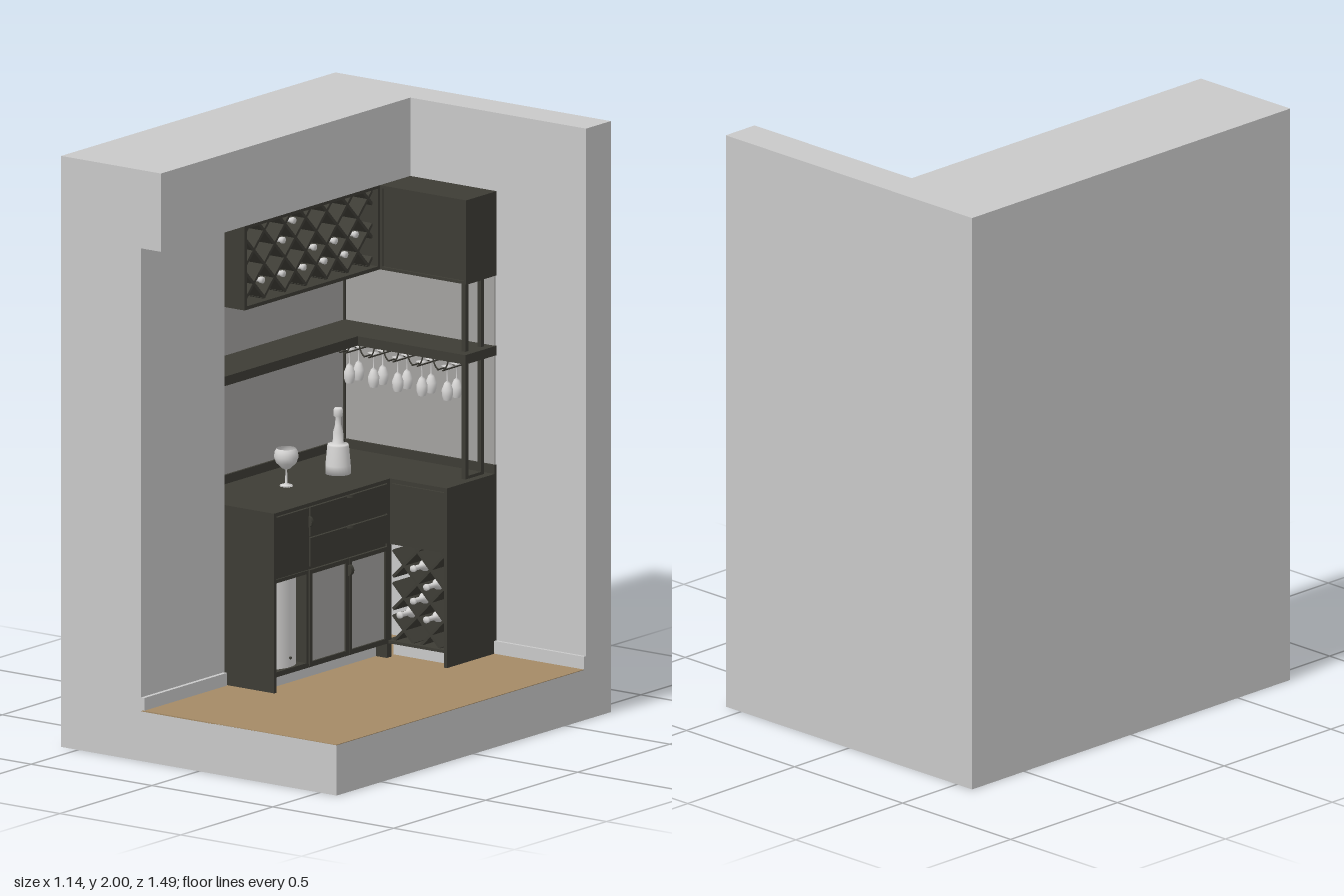
import * as THREE from 'three';

const mat = (name, color, side = THREE.FrontSide) => {
  const m = new THREE.MeshStandardMaterial({ color, side });
  m.name = name;
  return m;
};

export function createModel() {
  const wall = mat('wall grey', 0xc8c8c8);
  const wood = mat('floor tan', 0xa48a66);
  const dark = mat('cabinet charcoal', 0x3d3c35);
  const panel = mat('panel grey', 0xa3a19f);
  const glass = mat('pale glass', 0xd6d5d4, THREE.DoubleSide);

  const model = new THREE.Group();
  model.name = 'cornerBar';
  const sub = (name) => {
    const g = new THREE.Group();
    g.name = name;
    model.add(g);
    return g;
  };
  const room = sub('room');
  const back = sub('backRun');
  // The left run is built facing +z, then turned to face +x: its local x is -z, its local z is x
  const left = sub('leftRun');
  left.rotation.y = Math.PI / 2;
  const tableware = sub('tableware');

  const add = (parent, name, geo, m, x = 0, y = 0, z = 0) => {
    const mesh = new THREE.Mesh(geo, m);
    mesh.name = name;
    mesh.position.set(x, y, z);
    parent.add(mesh);
    return mesh;
  };
  const box = (parent, name, m, x0, x1, y0, y1, z0, z1) =>
    add(parent, name, new THREE.BoxGeometry(x1 - x0, y1 - y0, z1 - z0), m,
      (x0 + x1) / 2, (y0 + y1) / 2, (z0 + z1) / 2);
  const lathe = (pts, n = 20) => new THREE.LatheGeometry(pts.map(([r, y]) => new THREE.Vector2(r, y)), n);

  // Rectangular frame of four bars
  const frame = (p, name, m, x0, x1, y0, y1, z0, z1, t) => {
    box(p, name, m, x0, x0 + t, y0, y1, z0, z1);
    box(p, name, m, x1 - t, x1, y0, y1, z0, z1);
    box(p, name, m, x0 + t, x1 - t, y0, y0 + t, z0, z1);
    box(p, name, m, x0 + t, x1 - t, y1 - t, y1, z0, z1);
  };

  // Diagonal slats clipped to a rectangle; (cx, cy) is the middle of one diamond
  const lattice = (p, x0, x1, y0, y1, z0, z1, cx, cy, pitch) => {
    for (const s of [-1, 1]) for (let k = -12; k <= 12; k++) {
      const c = cx + (k + 0.5) * pitch;
      const ya = cy + s * (c - x0), yb = cy + s * (c - x1);
      const lo = Math.max(y0, Math.min(ya, yb)), hi = Math.min(y1, Math.max(ya, yb));
      if (hi - lo < 0.008) continue;
      const y = (lo + hi) / 2;
      const slat = add(p, 'latticeSlat', new THREE.BoxGeometry(0.01, (hi - lo) * Math.SQRT2, z1 - z0), dark,
        c - s * (y - cy), y, (z0 + z1) / 2);
      slat.rotation.z = s * Math.PI / 4;
    }
  };

  // Bottle lying with its neck to the front
  const bottleGeo = lathe([[0, 0], [0.022, 0], [0.022, 0.13], [0.018, 0.15], [0.009, 0.165], [0.008, 0.2],
    [0.011, 0.2], [0.011, 0.21], [0, 0.21]], 16);
  const layBottles = (p, spots, z) => spots.forEach(([x, y]) => {
    add(p, 'wineBottle', bottleGeo, glass, x, y, z).rotation.x = Math.PI / 2;
  });

  // Room shell: floor slab, walls with a niche on the left, soffit above
  box(room, 'floorSlab', wall, -0.57, 0.57, 0, 0.17, -0.745, 0.745);
  box(room, 'floorBoards', wood, -0.24, 0.57, 0.168, 0.172, -0.61, 0.745);
  box(room, 'backWall', wall, -0.57, 0.57, 0.17, 2, -0.745, -0.61);
  box(room, 'nicheWall', wall, -0.57, -0.43, 0.17, 1.735, -0.61, 0.29);
  box(room, 'leftWall', wall, -0.57, -0.24, 0.17, 1.735, 0.29, 0.745);
  box(room, 'soffit', wall, -0.57, -0.157, 1.735, 2, -0.61, 0.745);
  box(room, 'baseboardLeft', wall, -0.24, -0.226, 0.17, 0.215, 0.295, 0.745);
  box(room, 'baseboardBack', wall, 0.2, 0.57, 0.17, 0.215, -0.61, -0.598);
  box(room, 'splashPanelBack', panel, -0.43, 0.195, 0.81, 1.45, -0.61, -0.606);
  box(room, 'splashPanelLeft', panel, -0.43, -0.426, 0.81, 1.45, -0.606, 0.285);
  box(room, 'cornerTrim', dark, -0.43, -0.42, 0.81, 1.45, -0.606, -0.598);

  // Back run, base cabinet
  box(back, 'counter', dark, -0.43, 0.2, 0.768, 0.78, -0.61, -0.34);
  box(back, 'backsplashLip', dark, -0.43, 0.2, 0.78, 0.81, -0.61, -0.598);
  box(back, 'endPanel', dark, 0.188, 0.2, 0.215, 0.768, -0.61, -0.34);
  box(back, 'endPanelFoot', dark, 0.188, 0.2, 0.17, 0.215, -0.596, -0.34);
  box(back, 'cabinetBody', dark, -0.06, 0.188, 0.22, 0.768, -0.606, -0.54);
  box(back, 'cabinetTopBody', dark, -0.06, 0.188, 0.555, 0.768, -0.54, -0.352);
  box(back, 'cabinetFloor', dark, -0.06, 0.188, 0.22, 0.23, -0.54, -0.345);
  box(back, 'drawerFront', dark, -0.03, 0.184, 0.562, 0.762, -0.352, -0.344);
  box(back, 'toeKick', wall, -0.06, 0.188, 0.17, 0.22, -0.4, -0.39);
  lattice(back, -0.035, 0.188, 0.23, 0.555, -0.54, -0.355, 0.065, 0.38, 0.11);
  layBottles(back, [[0.065, 0.49], [0.12, 0.435], [0.065, 0.38], [0.01, 0.325], [0.12, 0.325]], -0.54);

  // Back run, wall cabinet and posts
  box(back, 'wallCabinet', dark, -0.43, 0.2, 1.45, 1.735, -0.61, -0.452);
  frame(back, 'wallCabinetFrame', dark, -0.157, 0.2, 1.45, 1.735, -0.452, -0.445, 0.01);
  box(back, 'shelf', dark, -0.43, 0.2, 1.18, 1.212, -0.61, -0.44);
  for (const z of [-0.485, -0.57]) box(back, 'post', dark, 0.157, 0.172, 0.78, 1.45, z - 0.008, z + 0.008);
  box(back, 'postTopRail', dark, 0.157, 0.172, 1.438, 1.45, -0.57, -0.485);
  box(back, 'postFootRail', dark, 0.157, 0.172, 0.78, 0.79, -0.57, -0.485);

  // Left run, base cabinet
  box(left, 'counter', dark, -0.29, 0.34, 0.768, 0.78, -0.43, -0.035);
  box(left, 'backsplashLip', dark, -0.29, 0.61, 0.78, 0.81, -0.43, -0.418);
  box(left, 'endPanel', dark, -0.29, -0.278, 0.17, 0.768, -0.43, -0.035);
  box(left, 'cabinetBack', dark, -0.278, 0.34, 0.22, 0.768, -0.43, -0.12);
  box(left, 'drawerBody', dark, -0.278, 0.36, 0.55, 0.768, -0.12, -0.05);
  box(left, 'cabinetFloor', dark, -0.278, 0.36, 0.22, 0.232, -0.12, -0.045);
  box(left, 'cornerStile', dark, 0.335, 0.36, 0.17, 0.768, -0.12, -0.045);
  box(left, 'toeKick', wall, -0.278, 0.34, 0.17, 0.22, -0.1, -0.09);
  box(left, 'sideDrawer', dark, -0.274, -0.093, 0.562, 0.762, -0.05, -0.04);
  box(left, 'topDrawer', dark, -0.087, 0.334, 0.664, 0.762, -0.05, -0.04);
  box(left, 'lowerDrawer', dark, -0.087, 0.334, 0.562, 0.658, -0.05, -0.04);

  // Glazed doors
  for (const x of [-0.088, 0.126]) {
    frame(left, 'doorFrame', dark, x, x + 0.21, 0.225, 0.55, -0.055, -0.04, 0.014);
    box(left, 'doorPane', panel, x + 0.014, x + 0.196, 0.239, 0.536, -0.052, -0.047);
  }

  // Cooler with a bowed pale door
  frame(left, 'coolerFrame', dark, -0.278, -0.09, 0.225, 0.55, -0.12, -0.045, 0.012);
  const bow = new THREE.CylinderGeometry(0.085, 0.085, 0.3, 24, 1, true, -Math.PI / 2, Math.PI);
  add(left, 'coolerDoor', bow, glass, -0.182, 0.388, -0.12).scale.z = 0.8;
  add(left, 'coolerKnob', new THREE.SphereGeometry(0.005, 10, 8), dark, -0.182, 0.27, -0.05);

  // Half-round pulls
  const pull = new THREE.CylinderGeometry(0.018, 0.018, 0.01, 16, 1, false, -Math.PI / 2, Math.PI);
  for (const [x, y, turn] of [[0.13, 0.762, 0], [0.13, 0.658, 0], [-0.093, 0.715, 1], [0.122, 0.51, 1], [0.128, 0.51, -1]]) {
    const h = add(left, 'pull', pull, dark, x, y, -0.04);
    h.rotation.z = turn * Math.PI / 2;
    h.scale.z = 0.8;
  }

  // Left run, wine rack, shelf and posts
  box(left, 'rackTop', dark, -0.29, 0.445, 1.725, 1.735, -0.43, -0.157);
  box(left, 'rackBottom', dark, -0.29, 0.445, 1.45, 1.462, -0.43, -0.157);
  box(left, 'rackEnd', dark, -0.29, -0.278, 1.462, 1.725, -0.43, -0.157);
  box(left, 'rackInnerEnd', dark, 0.435, 0.447, 1.462, 1.725, -0.43, -0.157);
  lattice(left, -0.278, 0.435, 1.462, 1.725, -0.4, -0.18, -0.04, 1.523, 0.113);
  layBottles(left, [[-0.04, 1.636], [0.017, 1.692], [0.13, 1.58], [0.243, 1.58], [0.356, 1.58],
    [-0.153, 1.523], [-0.04, 1.523], [0.073, 1.523], [0.186, 1.523], [0.299, 1.523]], -0.395);
  box(left, 'shelf', dark, -0.29, 0.45, 1.18, 1.212, -0.43, -0.245);
  for (const z of [-0.3, -0.385]) box(left, 'post', dark, -0.265, -0.25, 0.78, 1.45, z - 0.008, z + 0.008);
  box(left, 'wallStrip', dark, -0.29, -0.283, 0.78, 1.45, -0.43, -0.41);

  // Stemware hanging in wire rails under the back shelf
  const hanging = lathe([[0, 0.118], [0.02, 0.116], [0.003, 0.108], [0.002, 0.066], [0.01, 0.058],
    [0.019, 0.035], [0.018, 0.015], [0.013, 0]], 16);
  for (const x of [-0.325, -0.225, -0.125, -0.025, 0.08]) {
    for (const z of [-0.5, -0.55]) add(tableware, 'hangingGlass', hanging, glass, x, 1.032, z);
    for (const s of [-1, 1]) {
      box(tableware, 'glassRail', dark, x + s * 0.01 - 0.002, x + s * 0.01 + 0.002, 1.138, 1.142, -0.585, -0.46);
      for (const z of [-0.582, -0.463]) {
        const wire = new THREE.QuadraticBezierCurve3(new THREE.Vector3(x + s * 0.032, 1.182, z),
          new THREE.Vector3(x + s * 0.028, 1.15, z), new THREE.Vector3(x + s * 0.01, 1.14, z));
        add(tableware, 'railHanger', new THREE.TubeGeometry(wire, 6, 0.0025, 6), dark);
      }
    }
  }

  // Goblet and decanter on the counter
  add(tableware, 'goblet', lathe([[0, 0.004], [0.022, 0], [0.02, 0.004], [0.004, 0.01], [0.003, 0.055], [0.016, 0.062],
    [0.034, 0.08], [0.041, 0.1], [0.038, 0.118], [0.032, 0.128]], 24), glass, -0.24, 0.781, -0.045);
  add(tableware, 'decanter', lathe([[0, 0], [0.042, 0], [0.042, 0.03], [0.036, 0.095], [0.034, 0.1], [0.018, 0.105],
    [0.017, 0.14], [0.01, 0.165], [0.009, 0.19], [0.015, 0.195], [0.016, 0.215], [0.012, 0.222], [0, 0.222]], 24),
  glass, -0.216, 0.78, -0.295);

  return model;
}
